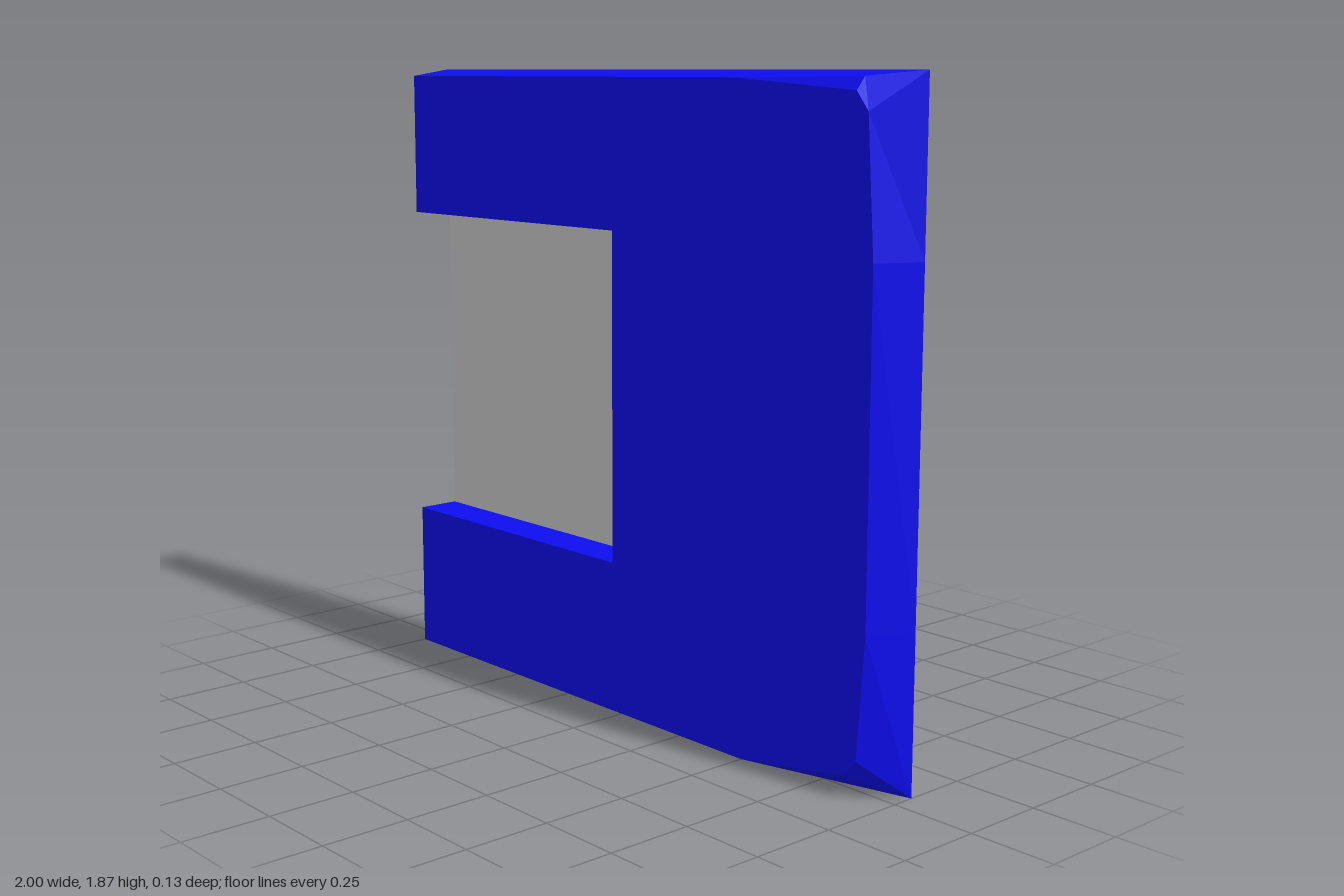
import * as THREE from 'three';

const FRONT = 0.065, BACK = -0.065;
const V = (x, y, z) => new THREE.Vector3(x, y, z);
const at = (pts, z) => pts.map(([x, y]) => V(x, y, z));

// Surface spanned between successive rails of equal length, skipping collapsed triangles
function loft(rails) {
  const pos = [];
  const tri = (a, b, c) => {
    const n = b.clone().sub(a).cross(c.clone().sub(a));
    if (n.length() > 1e-7) for (const p of [a, b, c]) pos.push(p.x, p.y, p.z);
  };
  for (let r = 0; r < rails.length - 1; r++) {
    const a = rails[r], b = rails[r + 1];
    for (let i = 0; i < a.length - 1; i++) {
      tri(a[i], a[i + 1], b[i + 1]);
      tri(a[i], b[i + 1], b[i]);
    }
  }
  const g = new THREE.BufferGeometry();
  g.setAttribute('position', new THREE.Float32BufferAttribute(pos, 3));
  g.computeVertexNormals();
  return g;
}

// Flat face at depth z; a back face is wound the other way round
function face(pts, z, backFacing = false) {
  const g = new THREE.ShapeGeometry(new THREE.Shape(pts.map(([x, y]) => new THREE.Vector2(x, y))));
  if (backFacing) g.setIndex([...g.index.array].reverse());
  g.computeVertexNormals();
  return g.translate(0, 0, z);
}

export function createModel() {
  const group = new THREE.Group();
  const blue = new THREE.MeshStandardMaterial({ color: 0x0d0df0, flatShading: true, side: THREE.DoubleSide });
  const grey = new THREE.MeshStandardMaterial({ color: 0xcccccc, flatShading: true, side: THREE.DoubleSide });
  const add = (name, geometry, material = blue) => {
    const mesh = new THREE.Mesh(geometry, material);
    mesh.name = name;
    group.add(mesh);
  };

  // Outer contour of the front, from the top edge round to the underside
  const frontRim = [
    [-1, 1.85], [0.45, 1.85], [0.88, 1.82], [0.92, 1.77], [0.945, 1.4],
    [0.945, 0.45], [0.92, 0.11], [0.88, 0.06], [0.5, 0],
  ];
  // Matching points on the square back edge
  const backRim = [
    [-1, 1.87], [0.45, 1.87], [1, 1.87], [1, 1.87], [1, 1.4],
    [1, 0.45], [1, 0], [1, 0], [1, 0],
  ];
  // Side opening, its end wall sloping inwards to the back
  const opening = (x) => [[-1, 1.42], [x, 1.42], [x, 0.45], [-1, 0.45]];
  const frontOpening = opening(-0.04), backOpening = opening(-0.155);

  add('frontPlate', face([...frontRim, [-1, 0], ...[...frontOpening].reverse()], FRONT));
  add('backPlate', face([[-1, 1.87], [1, 1.87], [1, 0], [-1, 0], ...[...backOpening].reverse()], BACK, true));

  // Top and side rim, with a small ridge cut across the upper corner
  const front = at(frontRim, FRONT);
  const ridge = front.map((p) => p.clone());
  ridge[2].set(0.88, 1.855, 0.035);
  add('outerRim', loft([front, ridge, at(backRim, BACK)]));

  // Walls of the opening and the panel that closes its back
  add('openingWalls', loft([at(backOpening, BACK), at(frontOpening, FRONT)]));
  add('backPanel', face(backOpening, BACK), grey);

  return group;
}
